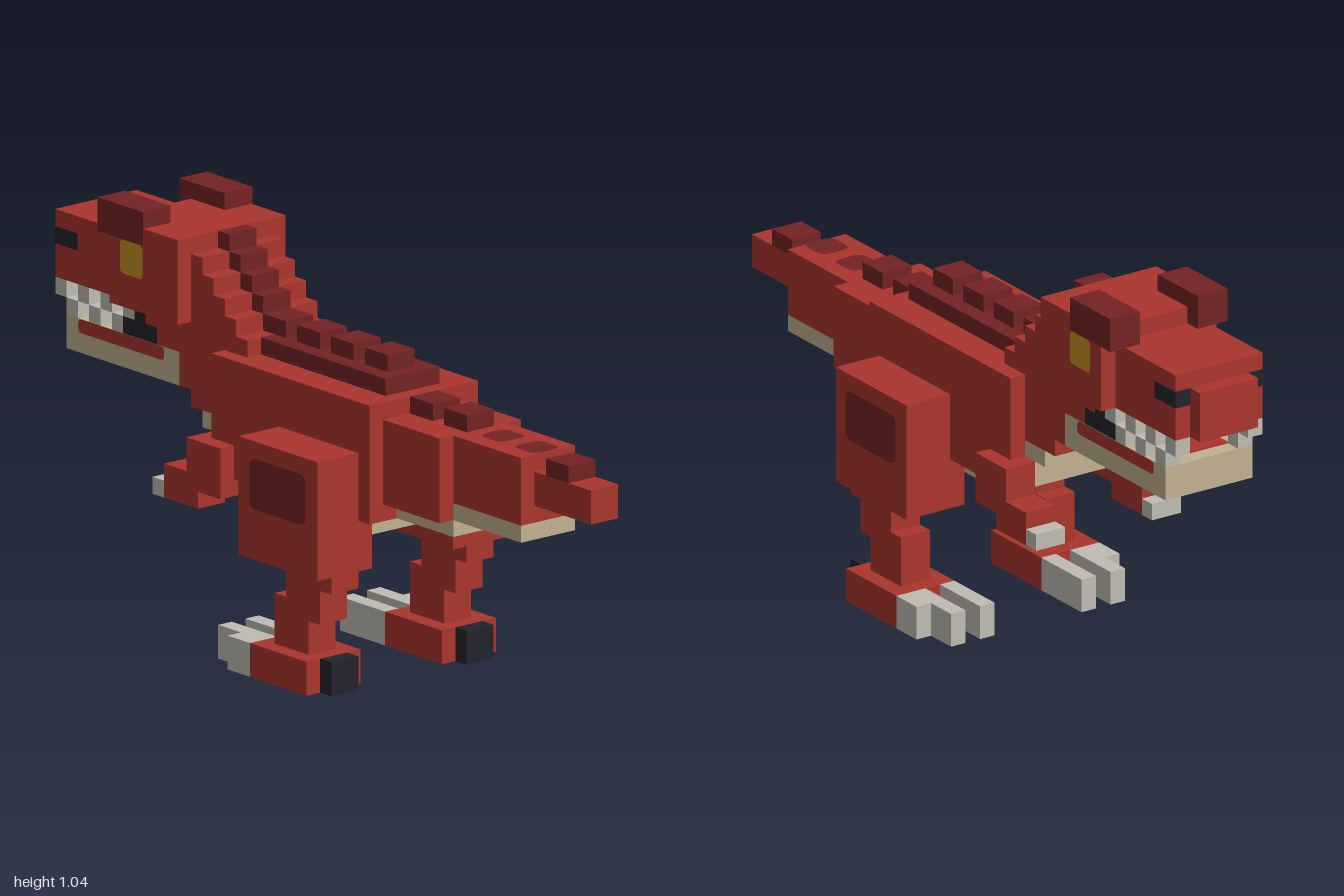
import * as THREE from 'three';

const U = 1 / 23; // size of one block
const material = (name, color) => {
  const m = new THREE.MeshStandardMaterial({ color });
  m.name = name;
  return m;
};

export function createModel() {
  const red = material('skin red', 0xaa352c);
  const dark = material('crest maroon', 0x742224);
  const beige = material('belly beige', 0xc2b190);
  const bone = material('claw bone', 0xbfbcb2);
  const black = material('black', 0x22222c);
  const yellow = material('eye yellow', 0xc49222);

  const model = new THREE.Group();
  model.name = 'blockyDinosaur';

  // Box from opposite corners, in blocks
  function box(name, mat, x0, x1, y0, y1, z0, z1) {
    const g = new THREE.BoxGeometry(Math.abs(x1 - x0) * U, (y1 - y0) * U, Math.abs(z1 - z0) * U);
    const mesh = new THREE.Mesh(g, mat);
    mesh.position.set((x0 + x1) / 2 * U, (y0 + y1) / 2 * U, (z0 + z1) / 2 * U);
    mesh.name = name;
    model.add(mesh);
    return mesh;
  }
  // Box centred on x
  const mid = (name, mat, half, ...r) => box(name, mat, -half, half, ...r);
  // Mirrored pair
  function pair(name, mat, x0, x1, ...r) {
    box(name + 'Left', mat, x0, x1, ...r);
    box(name + 'Right', mat, -x1, -x0, ...r);
  }
  // Painted patch with rounded corners
  function patch(name, mat, w, h, r, x, y, z, rx, ry) {
    const a = w / 2 * U, b = h / 2 * U, c = r * U;
    const s = new THREE.Shape();
    s.moveTo(-a + c, -b);
    s.lineTo(a - c, -b);
    s.quadraticCurveTo(a, -b, a, -b + c);
    s.lineTo(a, b - c);
    s.quadraticCurveTo(a, b, a - c, b);
    s.lineTo(-a + c, b);
    s.quadraticCurveTo(-a, b, -a, b - c);
    s.lineTo(-a, -b + c);
    s.quadraticCurveTo(-a, -b, -a + c, -b);
    const mesh = new THREE.Mesh(new THREE.ShapeGeometry(s, 4), mat);
    mesh.position.set(x * U, y * U, z * U);
    mesh.rotation.set(rx, ry, 0);
    mesh.name = name;
    model.add(mesh);
  }
  const sidePatch = (name, mat, w, h, r, x, y, z) => {
    for (const s of [1, -1]) patch(name + (s > 0 ? 'Left' : 'Right'), mat, w, h, r, s * (x + 0.06), y, z, 0, s * Math.PI / 2);
  };

  // Body
  mid('torso', red, 4, 10, 17, -7, 7);
  mid('belly', beige, 3, 9, 10, -5, 6);
  mid('chestPlate', beige, 3, 10, 12, -7.1, -6.9);
  mid('throat', beige, 3, 12, 13, -9, -7);

  // Tail
  mid('tailBase', red, 3, 11, 16, 7, 12);
  mid('tailBaseUnderside', beige, 2, 10, 11, 7, 12);
  mid('tailMiddle', red, 2, 12, 16, 12, 18);
  mid('tailMiddleUnderside', beige, 2, 11, 12, 12, 18);
  mid('tailTip', red, 1, 13, 15, 18, 23);
  mid('tailBump', dark, 1, 16, 17, 7, 9);
  mid('tailBump', dark, 1, 16, 17, 10, 12);
  mid('tailTipBump', dark, 1, 15, 16, 19, 21);
  for (const z of [14, 17]) patch('tailSpot', dark, 2, 2, 0.6, 0, 16.06, z, -Math.PI / 2, 0);

  // Back crest
  mid('crest', dark, 2, 17, 18, -5, 6);
  for (const z of [4, 1, -2, -5]) mid('crestBump', dark, 1, 18, 19, z - 1, z + 1);

  // Stepped neck with ridge
  for (let i = 0; i < 5; i++) {
    mid('neckStep', red, 3, i ? 17 + i : 13, 18 + i, -10, -5 - i);
    mid('neckRidge', dark, 1, 18 + i, 19 + i, -6 - i, -5 - i);
  }

  // Head
  mid('skull', red, 4, 18, 23, -16, -10);
  mid('snout', red, 3, 18, 22, -22, -16);
  mid('noseTip', red, 2, 18, 21, -23, -22);
  pair('brow', dark, 2, 4.05, 22, 24, -17, -13);
  pair('nostril', black, 2, 3.06, 20, 21, -22.06, -20);
  sidePatch('eye', yellow, 2, 2, 0.3, 4, 21, -14);

  // Jaw and mouth
  mid('cheekBack', red, 3, 14, 18, -11, -10);
  mid('cheekLower', red, 3, 16, 17, -13, -11);
  mid('cheekUpper', red, 3, 17, 18, -14, -11);
  mid('mouthCorner', black, 3, 17, 18, -15, -14);
  mid('mouthBack', black, 3, 16, 17, -16, -13);
  mid('jaw', beige, 3, 14, 16, -21, -11);
  mid('mouthFloor', red, 2, 16, 16.1, -20, -16);
  sidePatch('lip', red, 7.6, 0.8, 0.3, 3, 15.6, -16.1);
  for (const z of [-15, -17, -19, -21]) pair('upperTooth', bone, 2, 3, 17, 18, z - 1, z);
  for (const z of [-16, -18, -20]) pair('lowerTooth', bone, 2, 3, 16, 17, z - 1, z);

  // Arms
  pair('upperArm', red, 3, 5, 9, 12, -8, -5);
  pair('forearm', red, 3, 5, 8, 10, -10, -7);
  pair('handClaw', bone, 3, 5, 8, 9, -11, -10);

  // Legs
  pair('thigh', red, 3, 7, 7, 14, -1, 6);
  sidePatch('thighSpot', dark, 5, 3, 0.6, 7, 11.5, 2.5);
  for (const s of [1, -1]) patch('kneeSpot', beige, 2, 2, 0.5, s * 5, 6.94, 0.8, Math.PI / 2, 0);
  pair('knee', red, 4, 6, 6, 7, 2, 6);
  pair('upperShin', red, 4, 6, 5, 6, 2, 5);
  pair('middleShin', red, 4, 6, 4, 5, 1, 5);
  pair('ankle', red, 4, 6, 2, 4, 1, 4);
  pair('foot', red, 3, 7, 0, 2, 0, 5);
  pair('heel', black, 4, 6, 0, 2, 5, 6);
  pair('innerToe', bone, 3, 4, 0, 2, -4, 0);
  pair('middleToe', bone, 5, 6, 0, 2, -4, 0);
  pair('outerToe', bone, 6, 7, 0, 2, -2, 0);

  return model;
}
